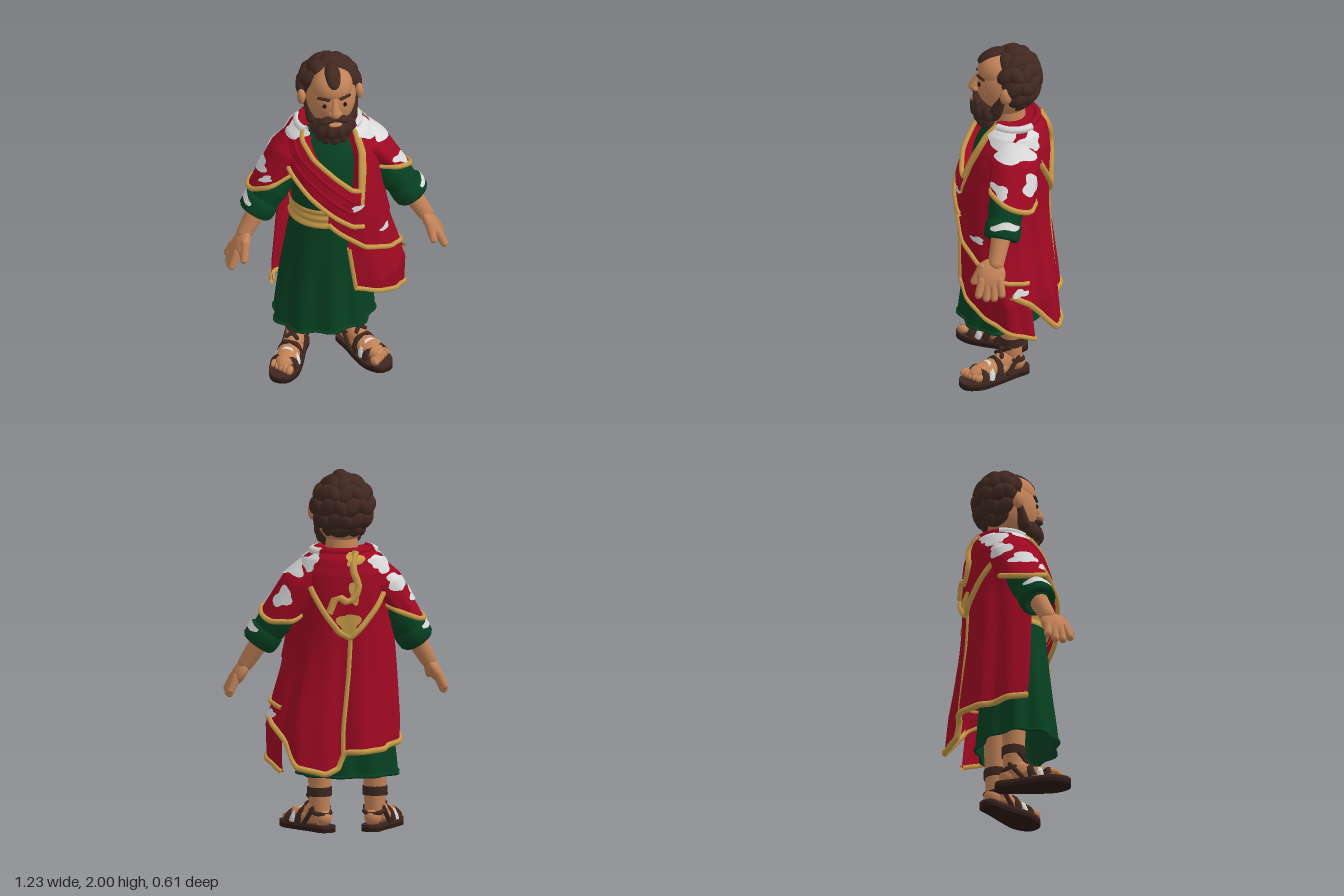
import * as THREE from 'three';

const V = (x, y, z) => new THREE.Vector3(x, y, z);
const paint = (name, color, side = THREE.FrontSide) => {
  const m = new THREE.MeshStandardMaterial({ color, side });
  m.name = name;
  return m;
};
const lerp = THREE.MathUtils.lerp, clamp = THREE.MathUtils.clamp, rad = THREE.MathUtils.degToRad;

// piecewise interpolation in rows of [key, values...]
function key(rows, k) {
  let i = 0;
  while (i < rows.length - 2 && k > rows[i + 1][0]) i++;
  const a = rows[i], b = rows[i + 1], f = clamp((k - a[0]) / (b[0] - a[0]), 0, 1);
  return a.slice(1).map((v, j) => lerp(v, b[j + 1], f));
}

// surface from a rule fn(u, v), both 0..1
function grid(fn, nu, nv) {
  const pos = [], idx = [];
  for (let j = 0; j <= nv; j++) for (let i = 0; i <= nu; i++) pos.push(...fn(i / nu, j / nv).toArray());
  for (let j = 0; j < nv; j++) for (let i = 0; i < nu; i++) {
    const a = j * (nu + 1) + i, c = a + nu + 1;
    idx.push(a, a + 1, c, a + 1, c + 1, c);
  }
  const g = new THREE.BufferGeometry();
  g.setAttribute('position', new THREE.Float32BufferAttribute(pos, 3));
  g.setIndex(idx);
  g.computeVertexNormals();
  return g;
}

// cross-sections: [y, centre x, centre z, half width, half depth]
const ROBE = [[0.31, -0.06, 0.06, 0.275, 0.215], [0.6, -0.055, 0.055, 0.25, 0.188], [0.9, -0.04, 0.045, 0.215, 0.18],
  [1.05, -0.03, 0.04, 0.195, 0.18], [1.25, -0.02, 0.03, 0.22, 0.195], [1.4, -0.02, 0, 0.22, 0.19],
  [1.5, -0.02, -0.01, 0.165, 0.15], [1.54, -0.02, 0, 0.1, 0.1]];
const MANTLE = [[0.34, 0.04, -0.015, 0.345, 0.262], [0.6, 0.035, 0.01, 0.355, 0.264], [0.9, 0, 0.028, 0.305, 0.248],
  [1.05, -0.01, 0.036, 0.285, 0.246], [1.2, -0.01, 0.032, 0.265, 0.242], [1.35, -0.015, 0.014, 0.26, 0.222],
  [1.45, -0.02, -0.005, 0.25, 0.195], [1.53, -0.02, -0.02, 0.2, 0.16], [1.585, -0.02, -0.025, 0.125, 0.108]];
function around(rows, deg, y, off, fold) {
  const [cx, cz, rx, rz] = key(rows, y), t = rad(deg), o = off + fold;
  return V(cx + (rx + o) * Math.sin(t), y, cz + (rz + o) * Math.cos(t));
}
const robe = (deg, y, off = 0) => around(ROBE, deg, y, off,
  0.013 * clamp((1 - y) / 0.6, 0, 1) * Math.sin(rad(deg) * 9 + 1));
const mantle = (deg, y, off = 0) => {
  const t = rad(deg), back = (1 - Math.cos(t)) / 2, drop = clamp((1.5 - y) / 0.9, 0, 1);
  return around(MANTLE, deg, y, off,
    drop * (back * 0.022 * Math.cos(6 * (t - 2.58)) + (0.004 + 0.004 * back) * Math.sin(t * 13 + 2 * y)));
};

export function createModel() {
  const root = new THREE.Group();
  root.name = 'robedMan';
  const D = THREE.DoubleSide;
  const skin = paint('skin', 0xc28257), hair = paint('hair', 0x402820), leather = paint('leather', 0x3e2720),
    soleMat = paint('sole', 0x2b1a16), red = paint('redCloth', 0x9f0922, D), green = paint('greenCloth', 0x074021, D),
    gold = paint('goldTrim', 0xc89b48, D), white = paint('whiteCloth', 0xdadada, D), dark = paint('eyeDark', 0x1c1310);

  const add = (name, geo, mat, parent = root) => {
    const m = new THREE.Mesh(geo, mat);
    m.name = name;
    parent.add(m);
    return m;
  };
  const along = (m, a, b) => {
    m.position.copy(a).add(b).multiplyScalar(0.5);
    m.quaternion.setFromUnitVectors(V(0, 1, 0), b.clone().sub(a).normalize());
    return m;
  };
  const ball = (name, mat, p, s, parent, seg = 20) => {
    const m = add(name, new THREE.SphereGeometry(1, seg, Math.ceil(seg * 0.7)), mat, parent);
    m.position.copy(p);
    m.scale.set(...s);
    return m;
  };
  // tapered rod with rounded ends
  const rod = (name, mat, a, b, r0, r1, parent) => {
    along(add(name, new THREE.CylinderGeometry(r1, r0, a.distanceTo(b), 16), mat, parent), a, b);
    ball(name, mat, a, [r0, r0, r0], parent, 14);
    ball(name, mat, b, [r1, r1, r1], parent, 14);
  };
  const tube = (name, pts, r, mat, closed = false) =>
    add(name, new THREE.TubeGeometry(new THREE.CatmullRomCurve3(pts, closed), pts.length * 2, r, 6, closed), mat);
  // small irregular patch laid on a surface
  const patch = (name, mat, surf, u, v, du, dv) => add(name, grid((a, r) => {
    const t = a * Math.PI * 2, w = r * (1 + 0.2 * Math.sin(3 * t + u) + 0.1 * Math.sin(5 * t));
    return surf(u + du * w * Math.cos(t), v + dv * w * Math.sin(t));
  }, 28, 6), mat);

  // robe, belt and neckline
  add('robe', grid((u, v) => robe(u * 360 - 180, lerp(0.31, 1.54, v)), 120, 40), green);
  tube('robeHem', Array.from({ length: 60 }, (_, i) => robe(i * 6, 0.315)), 0.009, green, true);
  add('belt', grid((u, v) => robe(lerp(-100, 40, u), lerp(1.0, 1.12, v), 0.016 + 0.004 * Math.sin(v * 16)), 40, 16), gold);

  // mantle panels: lower and upper edges as [degrees from front, height]
  const panel = (name, off, lo, hi) => add(name, grid((u, v) => {
    const t = lerp(lo[0][0], lo[lo.length - 1][0], u);
    return mantle(t, lerp(key(lo, t)[0], key(hi, t)[0], v), off);
  }, 110, 26), red);
  const trim = (name, off, rows, from = rows[0][0], to = rows[rows.length - 1][0], r = 0.014) => {
    const n = Math.ceil((to - from) / 3);
    tube(name, Array.from({ length: n + 1 }, (_, i) => {
      const t = lerp(from, to, i / n);
      return mantle(t, key(rows, t)[0], off);
    }), r, gold);
  };
  const edge = (name, off, deg, y0, y1) =>
    tube(name, Array.from({ length: 12 }, (_, i) => mantle(deg, lerp(y0, y1, i / 11), off)), 0.013, gold);

  const hipLow = [[8, 0.6], [45, 0.5], [90, 0.41], [118, 0.35]];
  panel('lowerHipPanel', 0, hipLow, [[8, 1], [118, 1]]);
  trim('lowerHipTrim', 0.002, hipLow);
  edge('lowerHipEdge', 0.002, 8, 0.6, 0.88);
  const hipHigh = [[-12, 1.07], [0, 1.0], [25, 0.87], [65, 0.76], [90, 0.72], [115, 0.7]];
  panel('upperHipPanel', 0.008, hipHigh, [[-12, 1.13], [10, 1.1], [115, 1.1]]);
  trim('upperHipTrim', 0.01, hipHigh);
  const sashLow = [[-95, 1.45], [-72, 1.4], [-48, 1.3], [-10, 1.14], [14, 1.04], [28, 1.02], [75, 0.97], [115, 0.95]];
  const sashHigh = [[-95, 1.575], [-60, 1.565], [-35, 1.49], [-8, 1.38], [16, 1.27], [26, 1.25], [31, 1.39], [37, 1.52], [46, 1.575], [115, 1.575]];
  panel('sash', 0.016, sashLow, sashHigh);
  trim('sashLowerTrim', 0.02, sashLow, -95, 26);
  trim('neckTrim', 0.02, sashHigh, -62, 46);
  add('neckBand', grid((u, v) => mantle(lerp(24, 38, v) + u * lerp(5, 8, v), lerp(1.16, 1.55, v), 0.022), 6, 20), gold);
  // cloth turned in from the neckline edge to the robe
  add('sashLining', grid((u, v) => {
    const t = lerp(-62, 46, u), y = key(sashHigh, t)[0];
    return mantle(t, y, 0.016).lerp(robe(t, Math.min(y, 1.54) - 0.02, -0.005), v);
  }, 50, 3), red);
  // soft folds following the sash
  for (const f of [0.35, 0.68]) tube('sashFold', Array.from({ length: 16 }, (_, i) => {
    const t = lerp(-75, 18, i / 15);
    return mantle(t, lerp(key(sashLow, t)[0], key(sashHigh, t)[0], f), 0.009);
  }), 0.014, red);

  // back cape
  const capeLow = [[92, 0.65], [112, 0.59], [128, 0.5], [142, 0.39], [168, 0.35], [179, 0.38], [186, 0.47], [230, 0.48], [275, 0.52]];
  panel('backCape', 0.012, capeLow, [[92, 1.575], [275, 1.575]]);
  trim('capeHem', 0.012, capeLow, 92, 275, 0.017);
  edge('capeSeam', 0.014, 184, 0.45, 1.12);
  const yokeLow = [[135, 1.38], [155, 1.24], [172, 1.13], [184, 1.1], [200, 1.18], [225, 1.32], [255, 1.44]];
  panel('backYoke', 0.02, yokeLow, [[135, 1.575], [255, 1.575]]);
  trim('yokeTrim', 0.022, yokeLow, 135, 255, 0.017);
  tube('yokeLoop', [[160, 1.24], [168, 1.33], [182, 1.3], [192, 1.38], [186, 1.48], [196, 1.57]].map(([t, y]) => mantle(t, y, 0.022)), 0.022, gold);
  tube('collarRoll', Array.from({ length: 22 }, (_, i) => mantle(lerp(46, 300, i / 21), 1.57, 0.008)), 0.022, red);
  // cloth tucked in around the neck
  add('innerCollar', grid((u, v) => mantle(lerp(46, 300, u), 1.582, 0.01).lerp(V(-0.015, 1.575, -0.01), v * 0.5), 40, 4), red);

  // white and gold patches on the mantle
  const cloth = (t, y) => mantle(t, Math.min(y, 1.585), 0.029);
  for (const [t, y, dt, dy] of [[68, 1.53, 25, 0.055], [118, 1.51, 20, 0.045], [-75, 1.55, 28, 0.035], [-125, 1.5, 20, 0.05],
    [20, 1.16, 7, 0.018], [55, 0.94, 9, 0.02], [103, 0.665, 9, 0.022], [220, 1.51, 10, 0.03]])
    patch('mantlePatch', white, cloth, t, y, dt, dy);
  for (const [t, y, dt, dy] of [[182, 1.18, 12, 0.06], [190, 1.535, 14, 0.035], [188, 1.36, 6, 0.07]])
    patch('yokePatch', gold, cloth, t, y, dt, dy);
  tube('leftCollarRoll', [50, 70, 90, 110, 130].map(t => mantle(t, 1.565, 0.018)), 0.024, white);
  tube('rightCollarRoll', [-55, -75, -95, -115].map(t => mantle(t, 1.565, 0.018)), 0.024, white);

  // shoulder drapes: rings as outer point, inner point, depth vector
  const drape = (name, rings) => {
    const at = (a, k) => {
      const i = Math.min(Math.floor(k * 2), 1), f = k * 2 - i;
      const [o, n, d] = [0, 1, 2].map(j => rings[i][j].clone().lerp(rings[i + 1][j], f));
      const c = o.clone().add(n).multiplyScalar(0.5), t = rad(a);
      return c.clone().add(o.sub(c).multiplyScalar(Math.cos(t))).addScaledVector(d, Math.sin(t) * (1 + 0.05 * k * Math.sin(6 * t)));
    };
    add(name, grid((u, v) => at(u * 360, v), 48, 20), red);
    tube(name + 'Trim', Array.from({ length: 40 }, (_, i) => at(i * 9, 1)), 0.015, gold, true);
    return (a, k) => { const p = at(a, k), c = at(a + 180, k); return p.add(p.clone().sub(c).setLength(0.008)); };
  };
  const leftDrape = drape('leftShoulderDrape', [[V(0.17, 1.55, -0.03), V(0, 1.4, -0.03), V(0, 0, 0.13)],
    [V(0.31, 1.43, -0.02), V(0.1, 1.36, -0.02), V(0, 0.02, 0.14)], [V(0.435, 1.22, -0.01), V(0.19, 1.25, -0.01), V(0, 0.05, 0.12)]]);
  const rightDrape = drape('rightShoulderDrape', [[V(-0.2, 1.55, -0.03), V(-0.03, 1.4, -0.03), V(0, 0, 0.13)],
    [V(-0.335, 1.43, -0.02), V(-0.12, 1.36, -0.02), V(0, 0.02, 0.14)], [V(-0.47, 1.18, 0), V(-0.2, 1.3, 0), V(0, 0.02, 0.12)]]);
  for (const [s, a, k, da, dk] of [[leftDrape, 5, 0.3, 50, 0.18], [leftDrape, 40, 0.85, 28, 0.09], [leftDrape, -45, 0.7, 25, 0.12],
    [rightDrape, 0, 0.72, 35, 0.08], [rightDrape, -50, 0.5, 28, 0.14], [rightDrape, 50, 0.85, 16, 0.05]])
    patch('drapePatch', white, s, a, k, da, dk);

  for (const s of [-1, 1]) {
    const side = s > 0 ? 'left' : 'right', P = (x, y, z) => V(s * x, y, z);
    // arm: sleeve, rolled cuff, hand
    const arm = new THREE.Group();
    arm.name = side + 'Arm';
    root.add(arm);
    rod('upperSleeve', green, P(0.23, 1.36, -0.01), P(0.345, 1.18, 0.03), 0.09, 0.1, arm);
    rod('lowerSleeve', green, P(0.345, 1.18, 0.03), P(0.4, 1.1, 0.045), 0.1, 0.088, arm);
    const cuff = [[0.05, 0.045], [0.085, 0.05], [0.1, 0.035], [0.103, 0], [0.1, -0.04], [0.088, -0.055], [0.06, -0.045], [0.05, 0.01]]
      .map(([r, y]) => new THREE.Vector2(r, -y));
    along(add('cuff', new THREE.LatheGeometry(cuff, 28), green, arm), P(0.385, 1.13, 0.04), P(0.445, 1.04, 0.06));
    // pale band across the top of the cuff
    add('cuffPatch', grid((u, v) => {
      const t = lerp(-1.0, 0.75, u), w = 0.022 * Math.sqrt(Math.sin(Math.PI * lerp(0.04, 0.96, u)));
      const k = lerp(-w, w, v) - 0.01 + 0.006 * Math.sin(u * 9), r = 0.106;
      return P(0.415 + 0.83 * r * Math.cos(t) + 0.54 * k, 1.085 + 0.55 * r * Math.cos(t) - 0.82 * k, 0.05 + r * Math.sin(t) + 0.18 * k);
    }, 20, 3), white, arm);
    rod('wrist', skin, P(0.42, 1.07, 0.055), P(0.505, 0.93, 0.09), 0.055, 0.045, arm);
    ball('palm', skin, P(0.535, 0.875, 0.118), [0.038, 0.088, 0.08], arm).rotation.z = s * 0.55;
    [0.072, 0.104, 0.138, 0.168].forEach((z, i) => {
      const tip = [0.78, 0.758, 0.758, 0.778][i];
      rod('finger', skin, P(0.56, 0.85, z), P(0.595, tip, 0.06 + i * 0.043), 0.025, 0.021, arm);
    });
    rod('thumb', skin, P(0.515, 0.91, 0.165), P(0.53, 0.83, 0.212), 0.028, 0.021, arm);

    // leg and sandal, toes turned out
    const leg = new THREE.Group();
    leg.name = side + 'Leg';
    leg.position.set(-0.0435 + s * 0.158, 0, 0);
    leg.rotation.y = s * 0.5;
    root.add(leg);
    rod('shin', skin, V(0, 0.11, -0.01), V(0, 0.55, -0.005), 0.056, 0.075, leg);
    const outline = [[0, -0.115], [0.048, -0.09], [0.058, 0], [0.08, 0.12], [0.084, 0.22], [0.045, 0.3],
      [-0.035, 0.305], [-0.08, 0.225], [-0.075, 0.12], [-0.058, 0], [-0.048, -0.09]].map(([x, z]) => new THREE.Vector2(-s * x, z));
    const shape = new THREE.Shape(new THREE.SplineCurve([...outline, outline[0]]).getPoints(50));
    const sole = (d) => new THREE.ExtrudeGeometry(shape, { depth: d, bevelEnabled: false }).rotateX(Math.PI / 2);
    add('sole', sole(0.022), soleMat, leg).position.y = 0.022;
    add('footbed', sole(0.016), leather, leg).position.y = 0.038;
    ball('foot', skin, V(0, 0.075, 0.11), [0.065, 0.047, 0.15], leg);
    ball('instep', skin, V(0, 0.1, 0.035), [0.056, 0.062, 0.1], leg).rotation.x = 0.4;
    ball('heel', skin, V(0, 0.075, -0.04), [0.048, 0.05, 0.05], leg);
    for (let i = 0; i < 5; i++)
      ball('toe', skin, V(-s * (0.05 - i * 0.026), 0.062, 0.258 - i * 0.009), [0.021 - i * 0.0015, 0.024 - i * 0.001, 0.032], leg, 12);
    for (const [z, r, h, mat, w] of [[0.2, 0.072, 0.88, leather, 2.2], [0.11, 0.066, 1.35, leather, 2.2], [0.158, 0.067, 1.1, white, 1.8]]) {
      const strap = add(mat === white ? 'strapPatch' : 'strap', new THREE.TorusGeometry(r, 0.011, 6, 20, Math.PI), mat, leg);
      strap.position.set(0, 0.04, z);
      strap.scale.set(1, h, w);
      strap.rotation.x = -0.3;
    }
    add('ankleBand', new THREE.CylinderGeometry(0.068, 0.068, 0.05, 24), leather, leg).position.set(0, 0.222, -0.008);
    for (const q of [-1, 1]) {
      rod('crossStrap', leather, V(q * 0.05, 0.2, 0.03), V(-q * 0.03, 0.145, 0.072), 0.012, 0.012, leg);
      rod('sideStrap', leather, V(q * 0.053, 0.13, -0.02), V(q * 0.062, 0.045, 0.05), 0.013, 0.013, leg);
    }
    const back = add('heelStrap', new THREE.TorusGeometry(0.055, 0.013, 6, 24), leather, leg);
    back.position.set(0, 0.11, -0.018);
    back.rotation.x = Math.PI / 2 - 0.25;
  }

  // head
  const head = new THREE.Group();
  head.name = 'head';
  head.position.x = -0.015;
  root.add(head);
  rod('neck', skin, V(0, 1.47, -0.005), V(0, 1.66, 0.01), 0.1, 0.085, head);
  ball('face', skin, V(0, 1.775, 0.02), [0.142, 0.19, 0.163], head, 32);
  ball('forehead', skin, V(0, 1.865, 0.06), [0.118, 0.11, 0.117], head, 24);
  rod('nose', skin, V(0, 1.835, 0.17), V(0, 1.76, 0.2), 0.014, 0.028, head);
  for (const s of [-1, 1]) {
    ball('nostril', skin, V(s * 0.023, 1.752, 0.188), [0.016, 0.014, 0.018], head, 12);
    ball('eye', dark, V(s * 0.057, 1.798, 0.168), [0.011, 0.014, 0.009], head, 14);
    rod('brow', hair, V(s * 0.035, 1.842, 0.174), V(s * 0.088, 1.842, 0.146), 0.01, 0.008, head);
    ball('ear', skin, V(s * 0.16, 1.775, 0.025), [0.026, 0.048, 0.034], head);
    ball('moustache', hair, V(s * 0.04, 1.708, 0.178), [0.052, 0.019, 0.028], head).rotation.z = -s * 0.35;
    rod('sideburn', hair, V(s * 0.138, 1.77, 0.035), V(s * 0.108, 1.66, 0.075), 0.018, 0.036, head);
  }
  // beard
  ball('beard', hair, V(0, 1.635, 0.115), [0.115, 0.088, 0.1], head);
  ball('lip', skin, V(0, 1.685, 0.197), [0.038, 0.011, 0.018], head, 14);
  for (const [y, r, n] of [[1.635, 0.092, 6], [1.578, 0.066, 5]]) for (let i = 0; i < n; i++) {
    const t = lerp(-1.4, 1.4, i / (n - 1));
    const lock = ball('beardLock', hair, V(Math.sin(t) * r, y, 0.11 + Math.cos(t) * r * 0.85), [0.034, 0.05, 0.034], head, 14);
    lock.rotation.z = Math.sin(t) * 0.3;
  }
  // hair cap and swept locks; rows of [elevation, half spread from the back, count]
  ball('hairCap', hair, V(0, 1.815, -0.025), [0.158, 0.172, 0.143], head, 28);
  for (const [e, spread, n] of [[-56, 70, 5], [-28, 80, 7], [2, 92, 8], [30, 114, 9], [57, 132, 7], [80, 140, 3]])
    for (let i = 0; i < n; i++) {
      const t = rad(180 + lerp(-spread, spread, i / (n - 1))), c = Math.cos(rad(e));
      const lock = ball('hairLock', hair, V(0.15 * c * Math.sin(t), 1.81 + 0.152 * Math.sin(rad(e)), -0.025 + 0.126 * c * Math.cos(t)),
        [0.043, 0.064, 0.036], head, 16);
      lock.rotation.set(-rad(e) * 0.8, t, ((i + Math.round(e)) % 2 ? 1 : -1) * 0.75, 'YXZ');
    }
  ball('frontLock', hair, V(0, 1.95, 0.1), [0.045, 0.036, 0.085], head).rotation.x = 0.5;
  return root;
}
